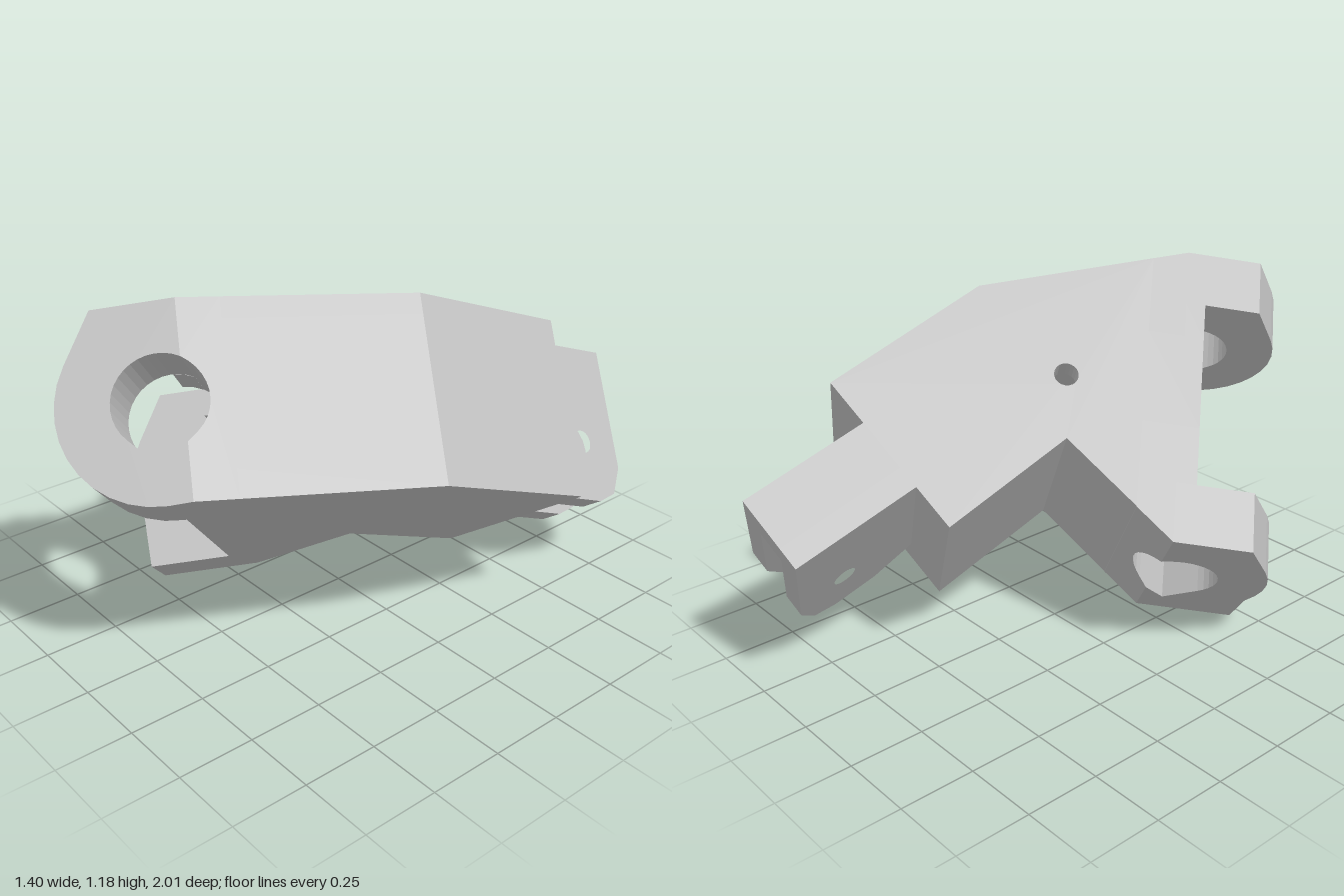
import * as THREE from 'three';

const Y0 = 0.089, Y1 = 0.685;          // bottom and top of the block
const C = [0.34, 0.387];               // hinge axis position (z, y)
const BORE = 0.14, LUG = 0.3, SEAM = 0.27;

// points on a circle round the hinge axis, angles in degrees
function arc(r, from, to, steps) {
  const pts = [];
  for (let i = 0; i <= steps; i++) {
    const t = THREE.MathUtils.degToRad(from + (to - from) * i / steps);
    pts.push([C[0] + r * Math.cos(t), C[1] + r * Math.sin(t)]);
  }
  return pts;
}

function shapeOf(pts, hole) {
  const s = new THREE.Shape(pts.map(p => new THREE.Vector2(p[0], p[1])));
  if (hole) {
    const h = new THREE.Path();
    h.absarc(hole[0], hole[1], hole[2], 0, Math.PI * 2, true);
    s.holes.push(h);
  }
  return s;
}

const extrude = (shape, depth) =>
  new THREE.ExtrudeGeometry(shape, { depth, bevelEnabled: false, curveSegments: 10 });

// (z, y) section swept along x
function alongX(pts, x0, x1) {
  return extrude(shapeOf(pts.map(([z, y]) => [-z, y])), x1 - x0).rotateY(Math.PI / 2).translate(x0, 0, 0);
}

// (x, z) plan swept along y
function alongY(pts, y0, y1, hole) {
  const h = hole && [hole[0], -hole[1], hole[2]];
  return extrude(shapeOf(pts.map(([x, z]) => [x, -z]), h), y1 - y0).rotateX(-Math.PI / 2).translate(0, y0, 0);
}

// slants the end face at the given x, behind the seam
function slant(geo, x, slope) {
  const p = geo.attributes.position;
  for (let i = 0; i < p.count; i++) {
    if (Math.abs(p.getX(i) - x) < 1e-4) p.setX(i, x + slope * (SEAM - p.getZ(i)));
  }
  geo.computeVertexNormals();
  return geo;
}

export function createModel() {
  const grey = new THREE.MeshStandardMaterial({ color: 0xbfbfbf, flatShading: true });
  grey.name = 'plain grey';
  const model = new THREE.Group();
  model.name = 'hingeBracket';
  const add = (parent, name, geo) => {
    const m = new THREE.Mesh(geo, grey);
    m.name = name;
    parent.add(m);
    return m;
  };

  // main block in three layers: floor, pocket level, roof with pin hole
  const front = 0.15, px0 = 0.45, px1 = 0.78, pz = -0.18, py0 = 0.175, py1 = 0.617;
  const plan = [[1.066, front], [0.855, -0.42], [0.425, -0.835], [0, -0.41], [0.349, -0.085], [0.152, front]];
  const notch = [[px0, front], [px0, pz], [px1, pz], [px1, front]];
  add(model, 'bodyFloor', alongY(plan, Y0, py0));
  add(model, 'bodyWalls', alongY([...plan, ...notch], py0, py1));
  add(model, 'bodyRoof', alongY(plan, py1, Y1, [0.574, -0.106, 0.04]));

  // bars above and below the pocket mouth
  const mouth = 0.335;
  for (const [name, a, b] of [['pocketSill', Y0, py0], ['pocketLintel', py1, Y1]]) {
    add(model, name, alongY([[px0, front], [px1, front], [px1, mouth], [px0, mouth]], a, b));
  }

  // blocks behind the teardrop bore, with slanted outer ends
  const rear = [[front, Y0], [SEAM, Y0], [SEAM, 0.259], ...arc(BORE, 225, 120, 10), [SEAM, Y1], [front, Y1]];
  add(model, 'boreBackRight', slant(alongX(rear, 0.05, px0), 0.05, 0.8375));
  add(model, 'boreBackLeft', slant(alongX(rear, px1, 1.11), 1.11, -0.368));

  // strips that complete the slot floor above and below the bore
  const lower = [[SEAM, Y0], [mouth, Y0], [mouth, 0.194], [SEAM, 0.259]];
  const upper = [[SEAM, Y1], [SEAM, 0.508], [0.304, 0.522], [mouth, 0.527], [mouth, Y1]];
  for (const [x0, x1] of [[0.25, px0], [px1, 0.91]]) {
    add(model, 'slotFloorLower', alongX(lower, x0, x1));
    add(model, 'slotFloorUpper', alongX(upper, x0, x1));
  }

  // two hinge lugs with a teardrop bore
  const boreEdge = [[0.52, Y1], [SEAM, Y1], ...arc(BORE, 120, -45, 16), [C[0], 0.189], [SEAM, 0.259]];
  add(model, 'squareFootLug',
    alongX([[SEAM, Y0], [0.6, Y0], ...arc(LUG, -26, 28.4, 5), ...boreEdge], 0.05, 0.25));
  add(model, 'roundLug',
    alongX([[SEAM, Y0], ...arc(LUG, -90, 28.4, 11), ...boreEdge], 0.91, 1.11));

  // clevis at the back, turned 45 degrees to the block
  const clevis = new THREE.Group();
  clevis.name = 'clevis';
  clevis.rotation.y = Math.PI * 0.75;
  model.add(clevis);
  const q0 = 0.453, q1 = 0.72, thick = 0.08, pin = [0.559, 0.339];
  const prong = [[0.28, Y1], [0.726, Y1], [0.73, 0.256], [0.68, 0.16], [0.6, 0.13], [0.44, 0.135], [0.28, 0.205]];
  for (const q of [q0, q1 - thick]) {
    add(clevis, 'prong', extrude(shapeOf(prong, [...pin, 0.04]), thick).translate(0, 0, q));
  }
  const gap = q1 - q0 - 2 * thick, mid = (q0 + q1) / 2;
  add(clevis, 'clevisWeb', new THREE.BoxGeometry(0.446, 0.105, gap).translate(0.503, 0.6325, mid));

  // hollow waisted spool between the prongs
  const h = gap / 2;
  const spool = [[0.04, -h], [0.11, -h], [0.07, -h * 0.4], [0.07, h * 0.4], [0.11, h], [0.04, h], [0.04, -h]];
  add(clevis, 'spool', new THREE.LatheGeometry(spool.map(p => new THREE.Vector2(...p)), 20)
    .rotateX(Math.PI / 2).translate(pin[0], pin[1], mid));

  // tilt the whole bracket into its resting pose
  const n = new THREE.Vector3(-0.578, 0.745, -0.33).normalize();
  const a = new THREE.Vector3().crossVectors(n, new THREE.Vector3(-0.636, -0.159, 0.755)).normalize();
  const b = new THREE.Vector3().crossVectors(a, n);
  model.applyMatrix4(new THREE.Matrix4().makeBasis(a, n, b));

  const root = new THREE.Group();
  root.name = 'bracket';
  root.add(model);
  return root;
}
